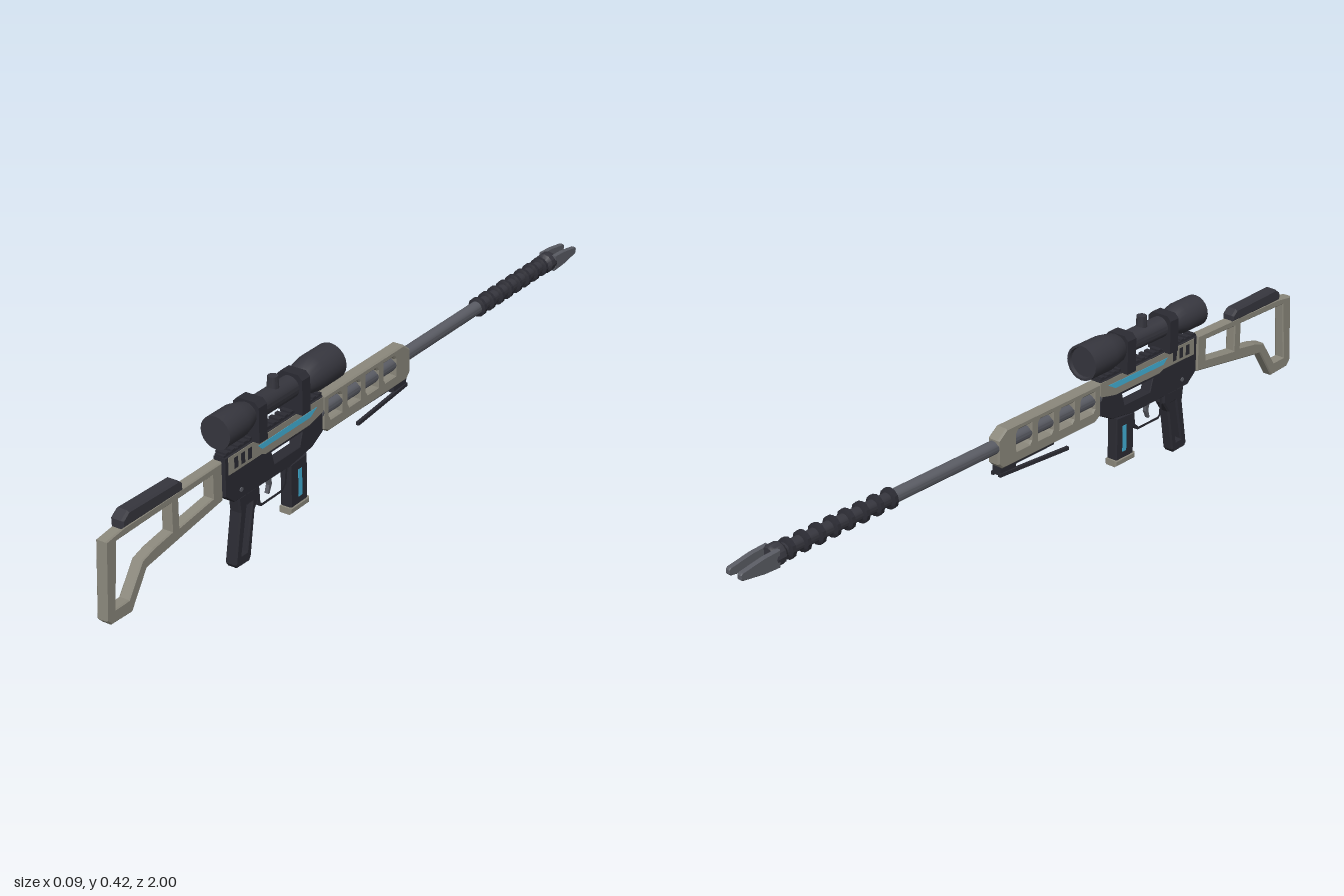
import * as THREE from 'three';
import { toCreasedNormals } from 'three/addons/utils/BufferGeometryUtils.js';

const material = (name, color) => {
  const m = new THREE.MeshStandardMaterial({ color });
  m.name = name;
  return m;
};

export function createModel() {
  const model = new THREE.Group();
  model.name = 'rifle';
  const black = material('matte black', 0x2b2b33);
  const charcoal = material('charcoal', 0x36363e);
  const khaki = material('khaki grey', 0x8b887c);
  const steel = material('steel', 0x5a5c64);
  const blue = material('blue glow', 0x42b2d8);
  const BORE = 0.257, SIGHT = 0.368;

  const add = (name, geometry, mat, x = 0, y = 0, z = 0) => {
    const mesh = new THREE.Mesh(geometry, mat);
    mesh.name = name;
    mesh.position.set(x, y, z);
    model.add(mesh);
    return mesh;
  };
  const box = (name, mat, w, h, d, x, y, z) => add(name, new THREE.BoxGeometry(w, h, d), mat, x, y, z);

  // Side profile of [z, y] points, extruded to a half width on both sides of x
  const plate = (name, mat, half, points, holes = [], bevel = 0, x = 0) => {
    const toVec = (list) => list.map(([z, y]) => new THREE.Vector2(z, y));
    const shape = new THREE.Shape(toVec(points));
    shape.holes = holes.map((h) => new THREE.Path(toVec(h)));
    const depth = 2 * (half - bevel);
    const g = new THREE.ExtrudeGeometry(shape, {
      depth, bevelEnabled: bevel > 0, bevelThickness: bevel, bevelSize: bevel,
      bevelOffset: -bevel, bevelSegments: 1,
    });
    g.translate(0, 0, -depth / 2);
    g.rotateY(-Math.PI / 2);
    return add(name, g, mat, x);
  };

  // Turned part along z from [radius, z] points in rising z
  const turned = (name, mat, points, y, sides = 20, z = 0) => {
    const g = new THREE.LatheGeometry(points.map(([r, t]) => new THREE.Vector2(r, t)), sides);
    g.rotateX(Math.PI / 2);
    return add(name, toCreasedNormals(g, 0.5), mat, 0, y, z);
  };

  // Skeleton stock and cheek rest
  plate('stock', khaki, 0.0145, [
    [0.99, 0.285], [1, 0.095], [0.985, 0.08], [0.915, 0.077], [0.86, 0.16], [0.585, 0.2],
    [0.585, 0.298], [0.93, 0.293],
  ], [
    [[0.955, 0.272], [0.77, 0.276], [0.77, 0.207], [0.835, 0.197], [0.875, 0.185], [0.925, 0.112], [0.968, 0.112]],
    [[0.742, 0.276], [0.622, 0.279], [0.622, 0.222], [0.742, 0.206]],
  ], 0.003);
  plate('cheekRest', charcoal, 0.0175, [
    [0.937, 0.292], [0.937, 0.312], [0.915, 0.328], [0.745, 0.324], [0.728, 0.31], [0.728, 0.292],
  ], [], 0.005);

  // Receiver with through window, upper side panels, vents and glowing stripe
  plate('receiver', black, 0.016, [
    [0.578, 0.303], [0.578, 0.205], [0.545, 0.178], [0.33, 0.174], [0.24, 0.186], [0.195, 0.21], [0.195, 0.303],
  ], [[[0.4, 0.242], [0.28, 0.242], [0.29, 0.209], [0.39, 0.209]]], 0.002);
  plate('upperPanel', khaki, 0.0175, [
    [0.565, 0.3], [0.565, 0.256], [0.44, 0.256], [0.425, 0.25], [0.25, 0.25], [0.195, 0.262], [0.195, 0.3],
  ]);
  for (let i = 0; i < 3; i++) {
    const z = 0.545 - i * 0.026;
    plate('vent', black, 0.0182, [[z, 0.292], [z, 0.264], [z - 0.014, 0.264], [z - 0.014, 0.292]]);
  }
  plate('stripe', blue, 0.0184, [[0.455, 0.283], [0.44, 0.269], [0.25, 0.269], [0.222, 0.285]]);
  for (const s of [-1, 1]) {
    const pin = new THREE.CylinderGeometry(0.006, 0.006, 0.003, 10).rotateZ(Math.PI / 2);
    add('pin', pin, steel, s * 0.0165, 0.2, 0.52);
  }

  // Top rail with teeth
  box('rail', black, 0.026, 0.008, 0.38, 0, 0.304, 0.387);
  for (let i = 0; i < 17; i++) box('railTooth', black, 0.03, 0.006, 0.012, 0, 0.31, 0.565 - i * 0.0225);

  // Pistol grip with slot
  plate('grip', black, 0.016, [
    [0.53, 0.182], [0.525, 0.14], [0.547, 0.012], [0.54, 0.002], [0.495, 0], [0.487, 0.01],
    [0.468, 0.125], [0.448, 0.155], [0.448, 0.182],
  ], [[[0.498, 0.148], [0.478, 0.148], [0.504, 0.03], [0.522, 0.03]]], 0.004);

  // Trigger guard and trigger
  plate('triggerGuard', black, 0.008, [
    [0.452, 0.18], [0.446, 0.124], [0.436, 0.115], [0.352, 0.115], [0.335, 0.13], [0.328, 0.18],
  ], [[[0.442, 0.174], [0.438, 0.127], [0.432, 0.122], [0.356, 0.122], [0.342, 0.134], [0.337, 0.174]]]);
  plate('trigger', steel, 0.005, [
    [0.405, 0.178], [0.398, 0.152], [0.404, 0.132], [0.398, 0.13], [0.388, 0.152], [0.39, 0.178],
  ]);

  // Magazine
  plate('magazine', black, 0.0155, [[0.328, 0.176], [0.328, 0.06], [0.26, 0.06], [0.26, 0.18]], [], 0.003);
  plate('magazineStripe', blue, 0.0163, [[0.298, 0.152], [0.298, 0.08], [0.283, 0.08], [0.283, 0.152]]);
  plate('magazineBase', khaki, 0.0175, [[0.333, 0.063], [0.333, 0.046], [0.255, 0.046], [0.255, 0.063]], [], 0.003);

  // Handguard with four windows that show the barrel
  const windows = [0.145, 0.067, -0.011, -0.089].map((z) => [
    [z + 0.025, 0.283], [z - 0.019, 0.283], [z - 0.025, 0.275],
    [z - 0.025, 0.231], [z + 0.019, 0.231], [z + 0.025, 0.239],
  ]);
  plate('handguard', khaki, 0.0175, [
    [0.195, 0.3], [0.195, 0.212], [0.175, 0.2], [-0.165, 0.2], [-0.18, 0.215], [-0.18, 0.278], [-0.15, 0.3],
  ], windows, 0.004);

  // Folded bipod
  box('bipodMount', black, 0.026, 0.022, 0.055, 0, 0.192, -0.142);
  for (const s of [-1, 1]) {
    const leg = box('bipodLeg', black, 0.008, 0.009, 0.235, s * 0.0175, 0.179, -0.055);
    leg.rotation.set(0.035, s * 0.055, 0);
  }

  // Barrel, cooling rings and forked muzzle
  turned('barrel', steel, [[0, -0.53], [0.0175, -0.53], [0.0175, 0.2], [0, 0.2]], BORE, 16);
  turned('muzzleTube', charcoal, [[0, -0.87], [0.017, -0.87], [0.017, -0.52], [0, -0.52]], BORE, 16);
  for (let i = 0; i < 8; i++) {
    turned('coolingRing', black, [[0.016, -0.009], [0.026, -0.005], [0.026, 0.005], [0.016, 0.009]],
      BORE, 12, -0.528 - i * 0.045);
  }
  turned('muzzleCollar', charcoal, [[0, -0.9], [0.023, -0.9], [0.027, -0.892], [0.027, -0.868], [0.018, -0.858]], BORE, 12);
  for (const s of [-1, 1]) {
    plate('muzzleProng', steel, 0.0065, [
      [-0.885, 0.279], [-0.885, 0.235], [-0.93, 0.237], [-0.995, 0.247], [-1, 0.252], [-1, 0.262],
      [-0.995, 0.267], [-0.93, 0.277],
    ], [], 0.002, s * 0.0185);
  }

  // Scope, mounts and turret
  turned('scope', charcoal, [
    [0, 0.148], [0.038, 0.148], [0.04, 0.14], [0.046, 0.14], [0.046, 0.222], [0.038, 0.265], [0.028, 0.28],
    [0.028, 0.47], [0.033, 0.482], [0.041, 0.515], [0.041, 0.588], [0, 0.588],
  ], SIGHT, 20);
  for (const z of [0.29, 0.458]) {
    const c = 0.012, w = 0.036, top = 0.403;
    const shape = new THREE.Shape([
      [-w, 0.302], [w, 0.302], [w, top - c], [w - c, top], [c - w, top], [-w, top - c],
    ].map(([x, y]) => new THREE.Vector2(x, y)));
    const g = new THREE.ExtrudeGeometry(shape, { depth: 0.032, bevelEnabled: false });
    add('scopeMount', g, black, 0, 0, z - 0.016);
  }
  const knob = new THREE.CylinderGeometry(0.013, 0.015, 0.036, 12);
  add('scopeTurret', toCreasedNormals(knob, 0.6), charcoal, 0, 0.404, 0.37);

  return model;
}
